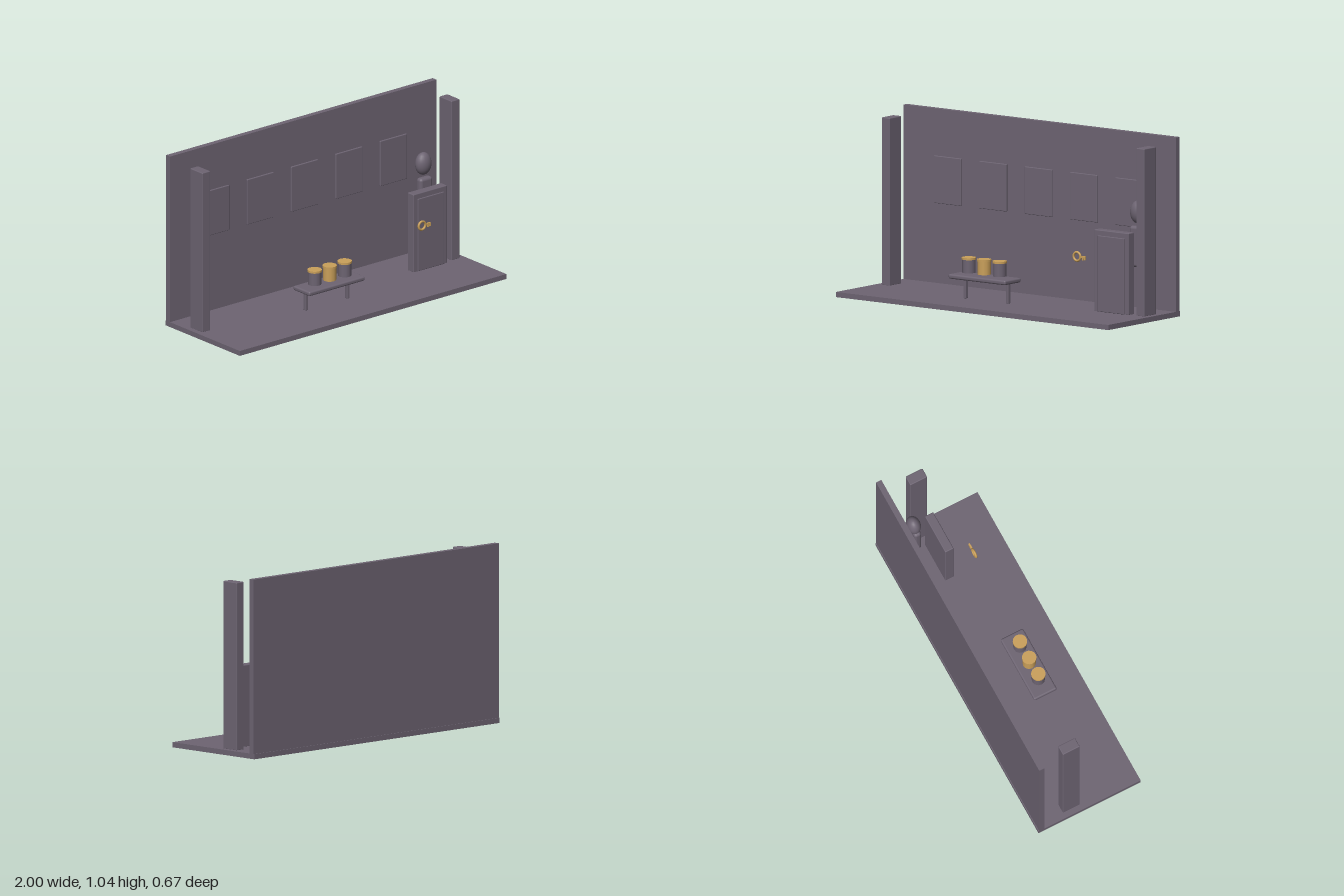
import * as THREE from 'three';
import { RoundedBoxGeometry } from 'three/addons/geometries/RoundedBoxGeometry.js';

export function createModel() {
  const root = new THREE.Group();
  const stone = new THREE.MeshStandardMaterial({ color: 0x6d6472 });
  stone.name = 'duskyStone';
  const gold = new THREE.MeshStandardMaterial({ color: 0xcaa05a });
  gold.name = 'gold';

  const add = (name, geo, mat, x, y, z, parent = root) => {
    const m = new THREE.Mesh(geo, mat);
    m.name = name;
    m.position.set(x, y, z);
    parent.add(m);
    return m;
  };
  // Box from its min and max corners, rounded when r > 0
  const box = (name, a, b, r = 0, mat = stone, parent = root) => {
    const s = a.map((v, i) => b[i] - v);
    const geo = r ? new RoundedBoxGeometry(...s, 3, r) : new THREE.BoxGeometry(...s);
    return add(name, geo, mat, ...a.map((v, i) => (v + b[i]) / 2), parent);
  };

  // Stage floor and back wall
  box('floor', [-1, 0, -0.333], [1, 0.03, 0.333]);
  box('backWall', [-1, 0.03, -0.328], [1, 1.045, -0.294]);

  // Pillars at both ends
  for (const s of [-1, 1]) {
    const x = s * 0.935;
    box(s < 0 ? 'rightPillar' : 'leftPillar', [x - 0.03, 0.027, -0.155], [x + 0.03, 1.005, -0.045], 0.005);
  }

  // Row of wall panels
  for (let i = -2; i <= 2; i++) {
    const x = i * 0.333;
    box('wallPanel', [x - 0.1, 0.497, -0.29], [x + 0.1, 0.773, -0.278], 0.004);
  }

  // Table
  const table = new THREE.Group();
  table.name = 'table';
  root.add(table);
  box('tableTop', [-0.323, 0.15, 0], [0.096, 0.177, 0.148], 0.01, stone, table);
  for (const x of [-0.27, 0.043]) {
    box('tableLeg', [x - 0.009, 0.03, 0.04], [x + 0.009, 0.155, 0.062], 0.003, stone, table);
  }

  // Three lidded pots, the middle one all gold
  [-0.225, -0.113, 0].forEach((x, i) => {
    const pot = new THREE.Group();
    pot.name = 'pot';
    pot.position.set(x, 0.187, 0.078);
    root.add(pot);
    add('potBody', new THREE.CylinderGeometry(0.039, 0.039, 0.078, 12), i === 1 ? gold : stone, 0, 0.039, 0, pot);
    add('potLid', new THREE.CylinderGeometry(0.042, 0.042, 0.012, 16), gold, 0, 0.083, 0, pot);
  });

  // Floating key
  const key = new THREE.Group();
  key.name = 'key';
  key.position.set(0.574, 0.358, 0.085);
  root.add(key);
  add('keyRing', new THREE.TorusGeometry(0.025, 0.007, 8, 16), gold, 0, 0, 0, key);
  box('keyShaft', [0.02, -0.006, -0.005], [0.063, 0.006, 0.005], 0, gold, key);
  box('keyTooth', [0.04, -0.018, -0.005], [0.048, -0.005, 0.005], 0, gold, key);
  box('keyTooth', [0.054, -0.016, -0.005], [0.062, -0.005, 0.005], 0, gold, key);

  // Door with its frame
  box('doorFrame', [0.608, 0.027, -0.085], [0.86, 0.505, -0.031], 0.005);
  box('door', [0.637, 0.03, -0.05], [0.833, 0.473, -0.025], 0.004);

  // Figure behind the door
  const figure = new THREE.Group();
  figure.name = 'figure';
  root.add(figure);
  box('figureBody', [0.765, 0.287, -0.2], [0.857, 0.527, -0.153], 0.018, stone, figure);
  add('figureHead', new THREE.SphereGeometry(1, 20, 14), stone, 0.81, 0.607, -0.186, figure).scale.set(0.052, 0.068, 0.042);

  return root;
}
